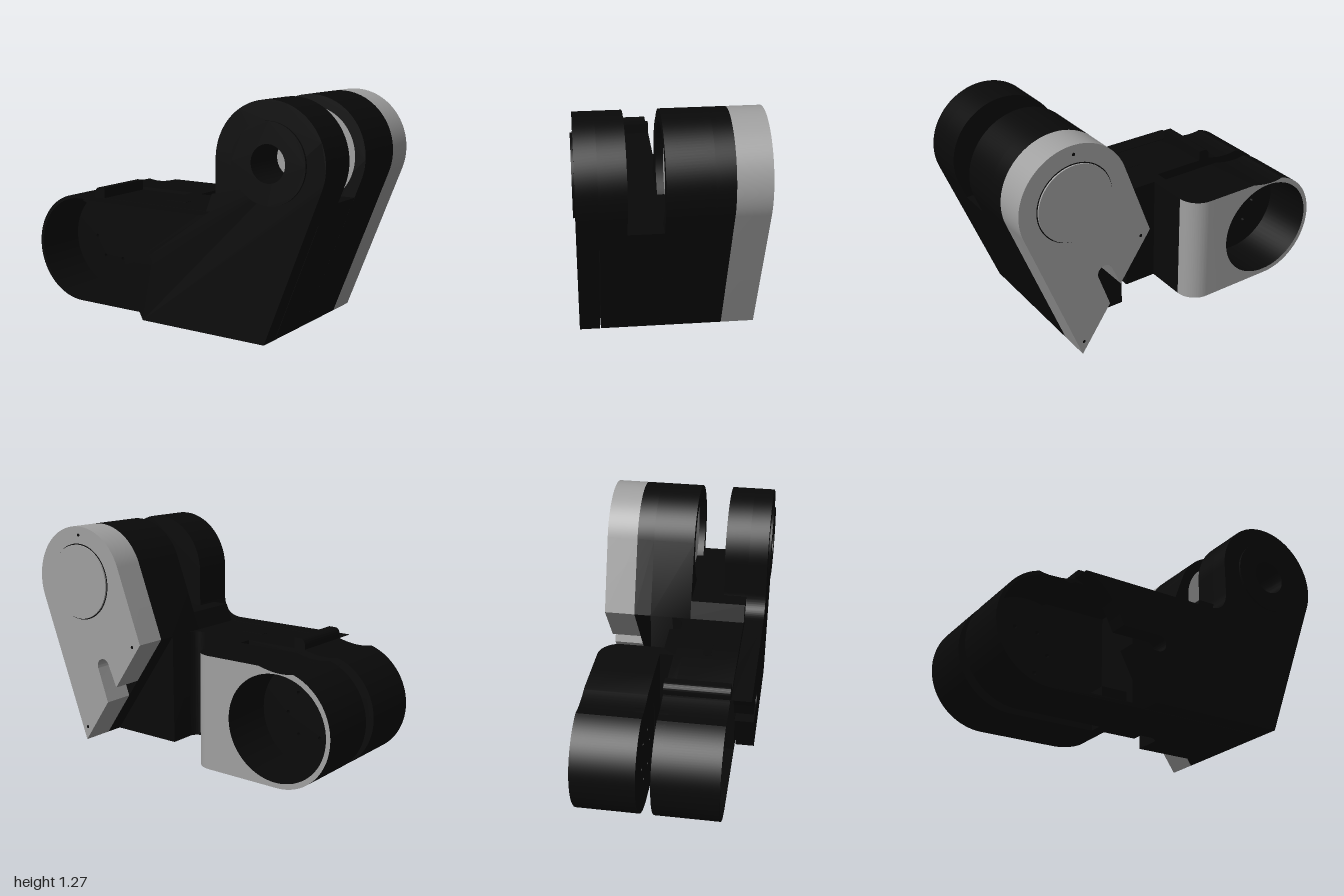
import * as THREE from 'three';
import { toCreasedNormals } from 'three/addons/utils/BufferGeometryUtils.js';

const dark = new THREE.MeshStandardMaterial({ color: 0x090909 });
const grey = new THREE.MeshStandardMaterial({ color: 0xa0a0a0 });

// upper joint and lower motor cup: centre and radius
const J = { x: 0.68, y: 0.95, r: 0.32 };
const M = { x: -0.68, y: 0.32, r: 0.32 };
const TILT = -0.364; // angle of the tangent point on the slanted edge

export function createModel() {
  const model = new THREE.Group();

  const add = (name, geo, mat = dark) => {
    const mesh = new THREE.Mesh(geo, mat);
    mesh.name = name;
    model.add(mesh);
    return mesh;
  };
  // extrude a front profile between two depths
  const slab = (name, shape, z0, z1, mat) => {
    const geo = new THREE.ExtrudeGeometry(shape, { depth: z1 - z0, bevelEnabled: false, curveSegments: 32 });
    geo.translate(0, 0, z0);
    return add(name, toCreasedNormals(geo, 0.5), mat);
  };
  // extrude a plan profile (x, -z) upwards
  const column = (name, shape, y0, y1, mat) => {
    const geo = new THREE.ExtrudeGeometry(shape, { depth: y1 - y0, bevelEnabled: false, curveSegments: 24 });
    geo.rotateX(-Math.PI / 2).translate(0, y0, 0);
    return add(name, toCreasedNormals(geo, 0.5), mat);
  };
  const box = (name, x0, x1, y0, y1, z0, z1, mat) => {
    const geo = new THREE.BoxGeometry(x1 - x0, y1 - y0, z1 - z0);
    geo.translate((x0 + x1) / 2, (y0 + y1) / 2, (z0 + z1) / 2);
    return add(name, geo, mat);
  };
  const poly = (...pts) => new THREE.Shape(pts.map(p => new THREE.Vector2(...p)));
  const hole = (shape, x, y, rx, ry = rx) => {
    shape.holes.push(new THREE.Path().absellipse(x, y, rx, ry, 0, Math.PI * 2, true));
    return shape;
  };
  const disc = (x, y, r) => new THREE.Shape().absarc(x, y, r, 0, Math.PI * 2, false);

  // outline of the round motor end, with the shallow dip on top
  const cupShape = (xRight) => {
    const s = new THREE.Shape();
    s.moveTo(xRight, 0);
    s.lineTo(xRight, 0.64);
    s.lineTo(-0.56, 0.64);
    s.quadraticCurveTo(-0.68, 0.605, -0.77, 0.627);
    s.absarc(M.x, M.y, M.r, 1.856, Math.PI * 1.5, false);
    return s;
  };
  // floor disc with six bolt holes
  const boltDisc = () => {
    const s = disc(M.x, M.y, 0.3);
    for (let i = 0; i < 6; i++) {
      const a = i * Math.PI / 3 - 0.03;
      hole(s, M.x + 0.135 * Math.cos(a), M.y + 0.135 * Math.sin(a), 0.011);
    }
    return s;
  };

  // front motor cup, open to the front
  const frontCup = cupShape(-0.1);
  const opening = new THREE.Path();
  opening.moveTo(-0.2, 0.02);
  opening.lineTo(M.x, 0.02);
  opening.absarc(M.x, M.y, 0.3, -Math.PI / 2, -Math.PI * 1.6, true);
  opening.lineTo(-0.56, 0.62);
  opening.lineTo(-0.2, 0.62);
  frontCup.holes.push(opening);
  slab('frontMotorCup', frontCup, 0, 0.36);
  slab('frontCupFloor', boltDisc(), 0, 0.05);
  slab('frontCupBackWall', hole(cupShape(-0.15), M.x, M.y, 0.295), 0, 0.05);

  // rear motor cup, open to the back, with a grey rear face
  const rearCup = () => hole(cupShape(-0.36), -0.67, M.y, 0.305, 0.292);
  slab('rearMotorCup', rearCup(), -0.42, -0.08);
  slab('rearCupFace', rearCup(), -0.43, -0.42, [grey, dark]);
  slab('rearCupFloor', boltDisc(), -0.13, -0.08);

  // mount beside the rear cup, with a rounded grey corner
  box('rearCupMount', -0.36, -0.11, 0, 0.64, -0.31, -0.08);
  const corner = new THREE.Shape();
  corner.moveTo(-0.36, 0.31);
  corner.lineTo(-0.11, 0.31);
  corner.absarc(-0.23, 0.31, 0.12, 0, Math.PI / 2, false);
  corner.lineTo(-0.36, 0.43);
  column('rearCupCorner', corner, 0, 0.64, [dark, grey]);
  box('bridge', -0.18, -0.11, 0, 0.64, -0.085, 0.01);
  box('bridgeStep', -0.11, 0.09, 0, 0.64, -0.065, 0.01);

  // main body
  slab('mainBody', poly([-0.1, 0], [0.66, 0], [0.942, 0.74], [0.258, 0.74], [0.22, 0.64], [-0.1, 0.64]), 0, 0.36);
  const fillet = new THREE.Shape();
  fillet.moveTo(0.22, 0.07);
  fillet.quadraticCurveTo(0.215, 0, 0.14, 0);
  fillet.lineTo(0.22, -0.01);
  column('bodyFillet', fillet, 0, 0.64);

  // slanted upper housing; the lower outline depends on the layer
  const housing = (lower) => {
    const s = new THREE.Shape();
    s.moveTo(0.22, 0.64);
    if (lower === 'square') s.lineTo(0.215, 0);
    if (lower === 'notched') {
      s.lineTo(0.41, 0.364);
      s.lineTo(0.465, 0.485);
      s.bezierCurveTo(0.49, 0.545, 0.57, 0.51, 0.55, 0.455);
      s.lineTo(0.48, 0.262);
    }
    s.lineTo(0.66, 0);
    s.absarc(J.x, J.y, J.r, TILT, Math.PI + TILT, false);
    return s;
  };
  slab('rearHousing', hole(housing('square'), J.x, J.y, 0.26), -0.2, 0.04);
  slab('rearHousingBack', housing('cut'), -0.3, -0.2);
  slab('rearCover', housing('notched'), -0.48, -0.3, grey);
  slab('jointFace', disc(J.x, J.y, 0.26), -0.06, 0.0, grey);
  slab('rearCap', disc(J.x, J.y, 0.215), -0.49, -0.47, grey);
  slab('rearCapGroove', hole(disc(J.x, J.y, 0.221), J.x, J.y, 0.215), -0.481, -0.47);
  for (const [x, y] of [[0.68, 1.22], [0.28, 0.62], [0.65, 0.08]])
    slab('coverScrew', disc(x, y, 0.009), -0.481, -0.47);

  // front housing and side cover
  const headOutline = (s) => {
    s.absarc(J.x, J.y, J.r, TILT, Math.PI, false);
    s.lineTo(0.36, 0.77);
    s.quadraticCurveTo(0.36, 0.64, 0.23, 0.64);
    return s;
  };
  const head = new THREE.Shape();
  head.moveTo(0.23, 0.64);
  head.lineTo(0.904, 0.64);
  slab('frontHousing', hole(headOutline(head), J.x, J.y, 0.1), 0.225, 0.365);

  const cover = new THREE.Shape();
  cover.moveTo(-0.13, 0);
  cover.lineTo(0.66, 0);
  headOutline(cover);
  cover.lineTo(-0.56, 0.64);
  cover.quadraticCurveTo(-0.42, 0.6, -0.33, 0.385);
  cover.lineTo(-0.11, 0.385);
  cover.absarc(-0.11, 0.338, 0.047, Math.PI / 2, -Math.PI / 2, true);
  cover.lineTo(-0.28, 0.291);
  slab('frontCover', hole(cover, J.x, J.y, 0.1), 0.365, 0.475);
  slab('frontCap', hole(disc(J.x, J.y, 0.215), J.x, J.y, 0.1), 0.47, 0.487);

  // raised lip and small details on the top and inside the cup
  const lip = new THREE.Shape();
  lip.moveTo(-0.56, 0.63);
  lip.lineTo(-0.49, 0.63);
  lip.lineTo(-0.49, 0.7);
  lip.lineTo(-0.525, 0.7);
  lip.quadraticCurveTo(-0.56, 0.7, -0.56, 0.66);
  slab('topLip', lip, 0, 0.36);
  box('topButton', -0.16, -0.02, 0.635, 0.642, 0.16, 0.21);
  box('innerBlock', -0.35, -0.2, 0.03, 0.1, 0.05, 0.3);

  return model;
}
